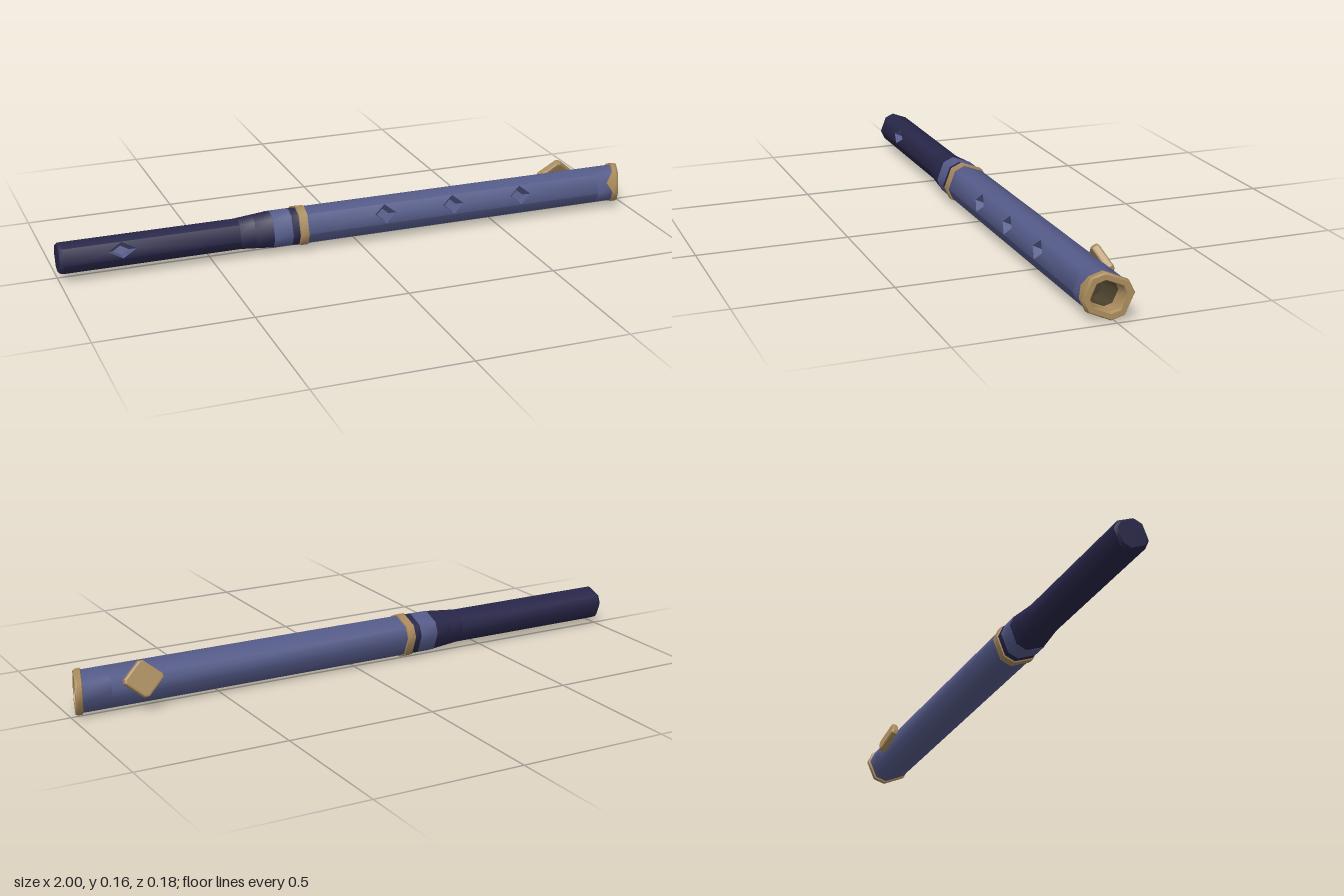
import * as THREE from 'three';
import { mergeGeometries } from 'three/addons/utils/BufferGeometryUtils.js';

const DEG = Math.PI / 180;
const TILT = 21 * DEG;    // roll of the whole pipe about its axis
const HALF = 29 * DEG;    // half angle of each of the four wide sides
const SLANT = 0.3;        // slope of the mouth

const mat = (name, color, side = THREE.FrontSide) => {
  const m = new THREE.MeshStandardMaterial({ color, side });
  m.name = name;
  return m;
};

// Cross-section: four wide sides (each with a middle point) and four narrow ones
const RING = [];
for (let k = 0; k < 4; k++) {
  for (const s of [-1, 0, 1]) RING.push({ a: k * Math.PI / 2 + s * HALF, f: s ? 1 : Math.cos(HALF) });
}

// Strips between rows [x, radius, slanted, tip]; smooth around, creased along
function loft(rows, openFront = false) {
  const strips = [];
  for (let j = 0; j + 1 < rows.length; j++) {
    const pos = [], idx = [];
    for (const [x, r, slanted = 0, tip = 0] of [rows[j], rows[j + 1]]) {
      RING.forEach(({ a, f }, i) => {
        const y = r * f * Math.sin(a), z = r * f * Math.cos(a);
        const across = z * Math.cos(TILT) - y * Math.sin(TILT);
        pos.push(x - slanted * SLANT * across - (i === 1 ? tip : 0), y, z);
      });
    }
    const n = RING.length;
    for (let i = openFront ? 2 : 0; i < n; i++) {
      const b = (i + 1) % n;
      idx.push(i, n + i, n + b, i, n + b, b);
    }
    const g = new THREE.BufferGeometry();
    g.setAttribute('position', new THREE.Float32BufferAttribute(pos, 3));
    g.setIndex(idx);
    g.computeVertexNormals();
    strips.push(g);
  }
  return mergeGeometries(strips);
}

// Wide front side pierced by diamond openings
function piercedSide(x0, x1, r, holes, hx, hy) {
  const h = r * Math.sin(HALF), d = r * Math.cos(HALF);
  const shape = new THREE.Shape([[x0, -h], [x1, -h], [x1, h], [x0, h]].map(p => new THREE.Vector2(...p)));
  for (const x of holes) {
    shape.holes.push(new THREE.Path([[x - hx, 0], [x, hy], [x + hx, 0], [x, -hy]].map(p => new THREE.Vector2(...p))));
  }
  const g = new THREE.ShapeGeometry(shape).translate(0, 0, d);
  const p = g.attributes.position, v = new THREE.Vector3();
  for (let i = 0; i < p.count; i++) {
    v.set(0, p.getY(i), p.getZ(i)).normalize();
    g.attributes.normal.setXYZ(i, v.x, v.y, v.z);
  }
  return g;
}

// Sunken finger hole: four sloping walls and a small floor
function pit(x, r, hx, hy) {
  const depth = 0.028, inner = 0.55, top = r * Math.cos(HALF);
  const walls = new THREE.CylinderGeometry(1, inner, depth, 4, 1, true).toNonIndexed();
  walls.rotateX(Math.PI / 2).scale(-hx, hy, 1).translate(x, 0, top - depth / 2);
  walls.computeVertexNormals();
  const floor = new THREE.CircleGeometry(inner, 4).toNonIndexed();
  floor.scale(hx, hy, 1).translate(x, 0, top - depth);
  return mergeGeometries([walls, floor]);
}

export function createModel() {
  const blue = mat('slate blue', 0x545a88);
  const navy = mat('dark navy', 0x282648);
  const gold = mat('tan gold', 0xa88a5c);
  const brown = mat('dark brown', 0x4c402d);

  const model = new THREE.Group();
  model.name = 'flute';
  const pipe = new THREE.Group();
  pipe.name = 'pipe';
  pipe.rotation.x = -TILT;
  pipe.position.set(0, 0.073, 0.018);
  model.add(pipe);

  const add = (name, geometry, material) => {
    const m = new THREE.Mesh(geometry, material);
    m.name = name;
    pipe.add(m);
    return m;
  };

  // Narrow dark foot with one hole
  const R1 = 0.057, R2 = 0.069;
  add('footCap', loft([[-1, 0], [-1, R1 - 0.008], [-0.99, R1]]), navy);
  add('foot', loft([[-0.99, R1], [-0.41, R1]], true), navy);
  add('footFront', piercedSide(-0.99, -0.41, R1, [-0.8], 0.047, 0.0265), navy);
  add('footHole', pit(-0.8, R1, 0.047, 0.0265), blue);
  add('taper', loft([[-0.41, R1], [-0.36, 0.062], [-0.3, 0.068]]), navy);

  // Joint: blue collar, dark stripe and gold band
  add('collar', loft([[-0.3, 0.067], [-0.3, R2], [-0.236, R2]]), blue);
  add('stripe', loft([[-0.236, R2], [-0.21, R2]]), navy);
  add('band', loft([[-0.213, 0.066], [-0.211, 0.074], [-0.183, 0.074], [-0.181, 0.066]]), gold);

  // Main body with three finger holes
  const holes = [0.09, 0.335, 0.585];
  add('body', loft([[-0.21, R2], [0.88, R2]], true), blue);
  add('bodyFront', piercedSide(-0.21, 0.88, R2, holes, 0.038, 0.032), blue);
  holes.forEach((x, i) => add('fingerHole' + (i + 1), pit(x, R2, 0.038, 0.032), blue));
  add('bodyEnd', loft([[0.88, R2], [0.966, R2, 1]]), blue);

  // Slanted mouth rim, pointed at the front, and its hollow bore
  add('mouthRim', loft([
    [0.954, 0.067, 1, 0.022], [0.957, 0.0745, 1, 0.022], [0.972, 0.0745, 1], [0.979, 0.07, 1],
    [0.979, 0.053, 1], [0.968, 0.048, 1], [0.93, 0.046, 1],
  ]), gold);
  add('bore', loft([[0.93, 0.046, 1], [0.86, 0.04], [0.86, 0]]), brown);

  // Diamond plate on the back
  const diamond = new THREE.Shape([
    [-0.059, -0.004], [-0.005, -0.052], [0.005, -0.052], [0.059, -0.004],
    [0.059, 0.004], [0.005, 0.052], [-0.005, 0.052], [-0.059, 0.004],
  ].map(p => new THREE.Vector2(...p)));
  const plate = add('backPlate', new THREE.ExtrudeGeometry(diamond, {
    depth: 0.014, bevelEnabled: true, bevelSize: 0.006, bevelThickness: 0.006, bevelSegments: 2,
  }).translate(0.777, 0, 0.068), gold);
  plate.rotation.x = -135 * DEG;

  return model;
}
